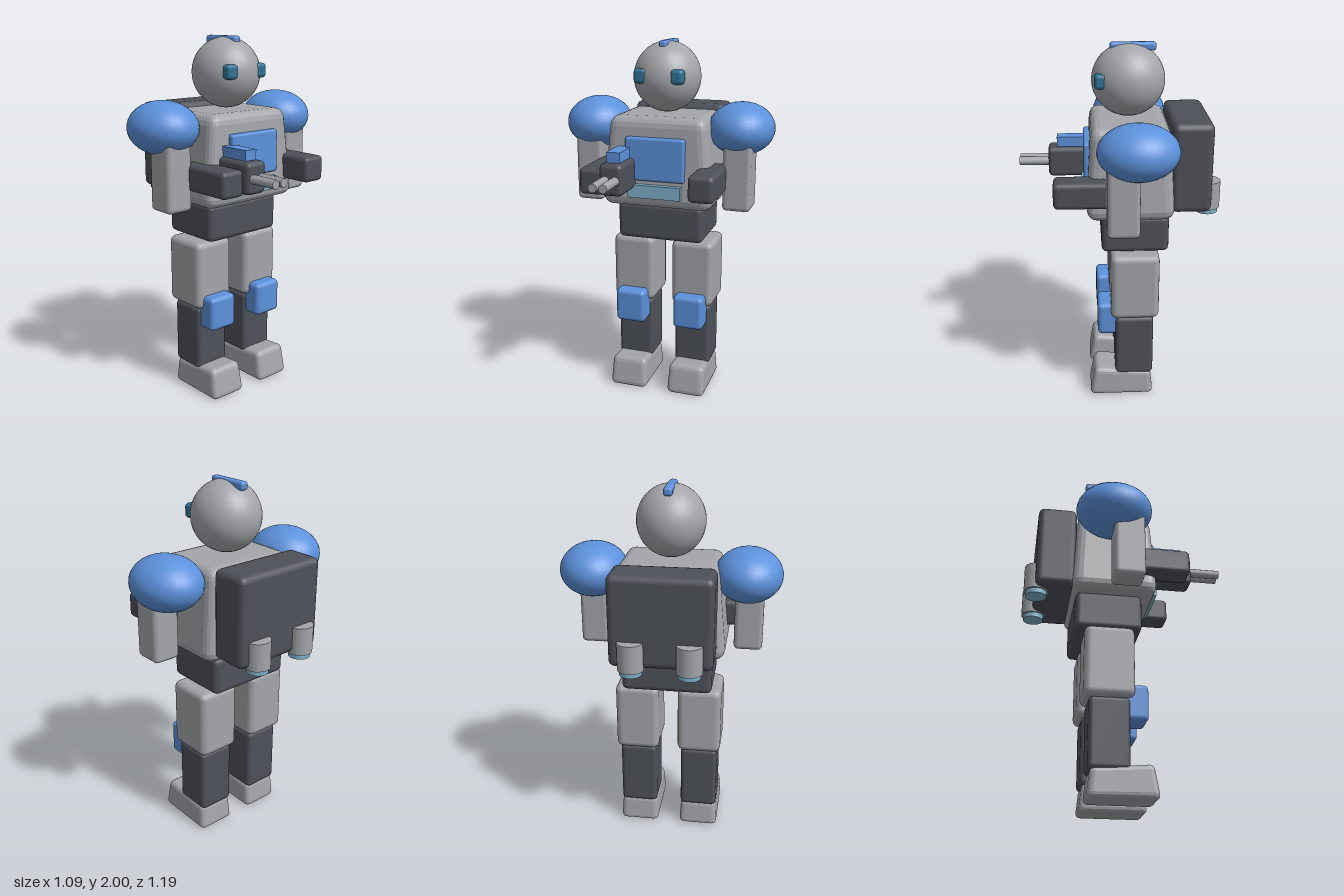
import * as THREE from 'three';
import { RoundedBoxGeometry } from 'three/addons/geometries/RoundedBoxGeometry.js';

const mat = (name, color) => {
  const m = new THREE.MeshStandardMaterial({ color });
  m.name = name;
  return m;
};

export function createModel() {
  const robot = new THREE.Group();
  robot.name = 'robot';
  const grey = mat('light grey armour', 0xa3a5a9);
  const dark = mat('dark grey frame', 0x4e5159);
  const blue = mat('blue armour', 0x5c91db);
  const cyan = mat('pale cyan glow', 0x7fb2cb);
  const teal = mat('teal eye', 0x2f7396);

  const add = (name, geometry, material) => {
    const mesh = new THREE.Mesh(geometry, material);
    mesh.name = name;
    robot.add(mesh);
    return mesh;
  };
  // Box given by its limits on each axis, with bevelled edges of radius r
  const block = (name, material, [x0, x1], [y0, y1], [z0, z1], r = 0) => {
    const size = [x1 - x0, y1 - y0, z1 - z0];
    const g = r ? new RoundedBoxGeometry(...size, 2, r) : new THREE.BoxGeometry(...size);
    g.translate((x0 + x1) / 2, (y0 + y1) / 2, (z0 + z1) / 2);
    return add(name, g, material);
  };
  const ellipsoid = (name, material, centre, radii) => {
    const mesh = add(name, new THREE.SphereGeometry(1, 32, 20), material);
    mesh.position.set(...centre);
    mesh.scale.set(...radii);
  };
  // Moves the vertices of a mesh by a rule, then refreshes the normals
  const reshape = (mesh, rule) => {
    const p = mesh.geometry.attributes.position;
    const v = new THREE.Vector3();
    for (let i = 0; i < p.count; i++) {
      rule(v.fromBufferAttribute(p, i));
      p.setXYZ(i, v.x, v.y, v.z);
    }
    mesh.geometry.computeVertexNormals();
  };

  // Head and crest
  ellipsoid('head', grey, [-0.055, 1.805, 0], [0.195, 0.19, 0.183]);
  block('crest', blue, [-0.2, 0.042], [1.955, 2], [-0.023, 0.023], 0.015);

  // Torso narrows towards the shoulders
  const torso = block('torso', grey, [-0.29, 0.175], [1.115, 1.61], [-0.31, 0.31], 0.055);
  reshape(torso, (v) => {
    const t = Math.max(0, (v.y - 1.2) / 0.41);
    v.x = -0.06 + (v.x + 0.06) * (1 - 0.11 * t);
    v.z *= 1 - 0.14 * t;
  });
  block('chestPlate', blue, [0.12, 0.188], [1.27, 1.505], [-0.165, 0.165], 0.014);
  block('chestVent', cyan, [0.13, 0.2], [1.178, 1.25], [-0.148, 0.148]);
  block('pelvis', dark, [-0.267, 0.098], [0.91, 1.12], [-0.245, 0.245], 0.03);
  block('backpack', dark, [-0.487, -0.27], [1.145, 1.63], [-0.268, 0.268], 0.035);

  // Paired parts
  for (const s of [1, -1]) {
    const side = s > 0 ? 'Front' : 'Rear';
    const zs = (a, b) => (s > 0 ? [a, b] : [-b, -a]);

    block('eye' + side, teal, [0.065, 0.126], [1.78, 1.858], zs(0.065, 0.137), 0.02);

    // Arm
    ellipsoid('shoulder' + side, blue, [-0.083, 1.538, s * 0.412], [0.208, 0.143, 0.181]);
    block('upperArm' + side, grey, [-0.092, 0.075], [1.108, 1.54], zs(0.345, 0.5), 0.025);
    block('forearm' + side, dark, [-0.01, 0.347], [1.215, 1.357], zs(0.228, 0.367), 0.025);

    // Thruster with glowing nozzle
    const thruster = add('thruster' + side, new THREE.CylinderGeometry(0.068, 0.068, 0.15, 20), grey);
    thruster.position.set(-0.478, 1.215, s * 0.15);
    const nozzle = add('nozzle' + side, new THREE.CylinderGeometry(0.058, 0.058, 0.05, 20), cyan);
    nozzle.position.set(-0.478, 1.138, s * 0.15);

    // Leg
    block('thigh' + side, grey, [-0.218, 0.05], [0.515, 0.902], zs(0.053, 0.295), 0.035);
    block('shin' + side, dark, [-0.19, 0.025], [0.14, 0.515], zs(0.07, 0.277), 0.025);
    block('knee' + side, blue, [-0.01, 0.124], [0.4, 0.593], zs(0.085, 0.26), 0.025);
    const foot = block('foot' + side, grey, [-0.193, 0.175], [0, 0.175], zs(0.063, 0.285), 0.03);
    reshape(foot, (v) => {
      const t = v.y / 0.175;
      const m = s * 0.174;
      if (v.x > 0) v.x *= 1 - 0.18 * t;
      else v.x *= 1 - 0.08 * t;
      if (v.x < -0.1) v.y *= 0.87;
      v.z = m + (v.z - m) * (1 - 0.08 * t);
    });
  }

  // Twin-barrelled gun
  block('gunBody', dark, [0.1, 0.385], [1.225, 1.395], [0.11, 0.237], 0.025);
  block('gunSight', blue, [0.155, 0.335], [1.385, 1.45], [0.136, 0.21]);
  for (const z of [0.146, 0.202]) {
    const g = new THREE.CylinderGeometry(0.024, 0.024, 0.22, 10);
    g.rotateZ(-Math.PI / 2);
    add('gunBarrel', g, grey).position.set(0.438, 1.31, z);
  }
  return robot;
}
